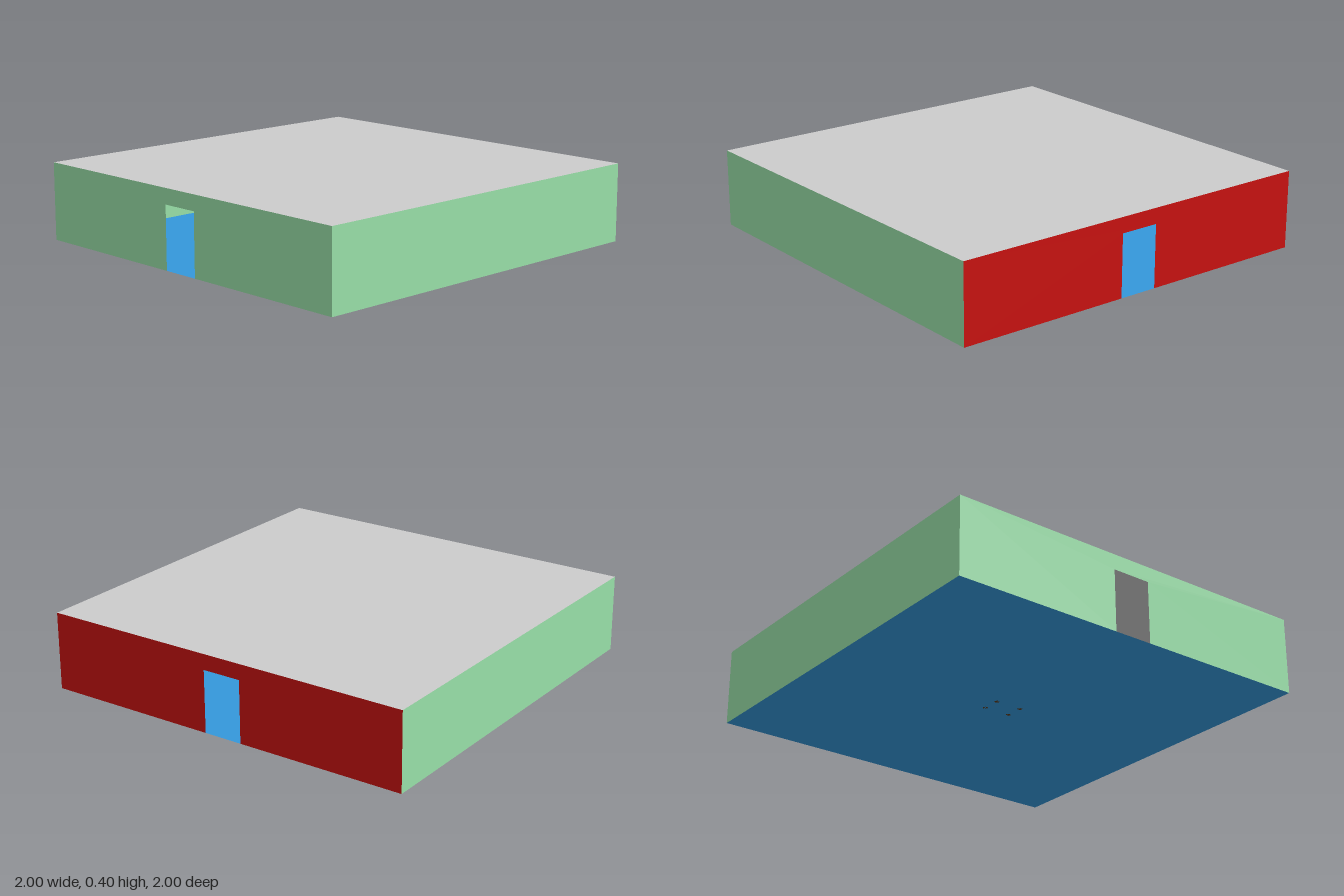
import * as THREE from 'three';

const mat = (color) => new THREE.MeshStandardMaterial({ color, side: THREE.DoubleSide });

export function createModel() {
  const model = new THREE.Group();
  const green = mat(0x98dfa8), red = mat(0xc81210), blue = mat(0x3498db), grey = mat(0xcccccc);
  const wood = mat(0x5a3818), paper = mat(0xd8c4a4);
  const H = 0.4;

  const add = (parent, name, geometry, material, x = 0, y = 0, z = 0) => {
    const mesh = new THREE.Mesh(geometry, material);
    mesh.name = name;
    mesh.position.set(x, y, z);
    parent.add(mesh);
    return mesh;
  };

  // Floor and ceiling
  add(model, 'floor', new THREE.PlaneGeometry(2, 2).rotateX(-Math.PI / 2), blue);
  add(model, 'ceiling', new THREE.PlaneGeometry(2, 2).rotateX(-Math.PI / 2), grey, 0, H, 0);

  // Solid side walls
  for (const s of [-1, 1]) {
    add(model, s > 0 ? 'leftWall' : 'rightWall',
      new THREE.PlaneGeometry(2, H).rotateY(s * Math.PI / 2), green, s, H / 2, 0);
  }

  // Front and back walls, each outlined around an open doorway
  const outline = [[-1, 0], [-0.115, 0], [-0.115, 0.32], [0.09, 0.32], [0.09, 0], [1, 0], [1, H], [-1, H]];
  const wall = new THREE.ShapeGeometry(new THREE.Shape(outline.map(([x, y]) => new THREE.Vector2(x, y))));
  add(model, 'frontWall', wall, green, 0, 0, 1);
  // Mirrored so that the doorway lines up and the wall faces outwards
  add(model, 'backWall', wall, red, 0, 0, -1);

  // Table in the middle of the room
  const table = new THREE.Group();
  table.name = 'table';
  model.add(table);
  add(table, 'tableTop', new THREE.BoxGeometry(0.176, 0.013, 0.126), wood, 0, 0.1195, 0);
  for (const s of [-1, 1]) {
    add(table, 'longApron', new THREE.BoxGeometry(0.145, 0.008, 0.006), wood, 0, 0.11, s * 0.047);
    add(table, 'shortApron', new THREE.BoxGeometry(0.006, 0.008, 0.094), wood, s * 0.072, 0.11, 0);
  }

  // Turned legs with a wider foot
  const profile = [[0, 0], [0.013, 0], [0.013, 0.015], [0.009, 0.022], [0.011, 0.06],
    [0.011, 0.085], [0.008, 0.092], [0.008, 0.114], [0, 0.114]];
  const leg = new THREE.LatheGeometry(profile.map(([r, y]) => new THREE.Vector2(r, y)), 12);
  for (const x of [-0.072, 0.072]) {
    for (const z of [-0.047, 0.047]) add(table, 'tableLeg', leg, wood, x, 0, z);
  }

  // Flat object lying on the table
  add(table, 'tray', new THREE.BoxGeometry(0.095, 0.01, 0.065), paper, -0.002, 0.131, 0);
  return model;
}
